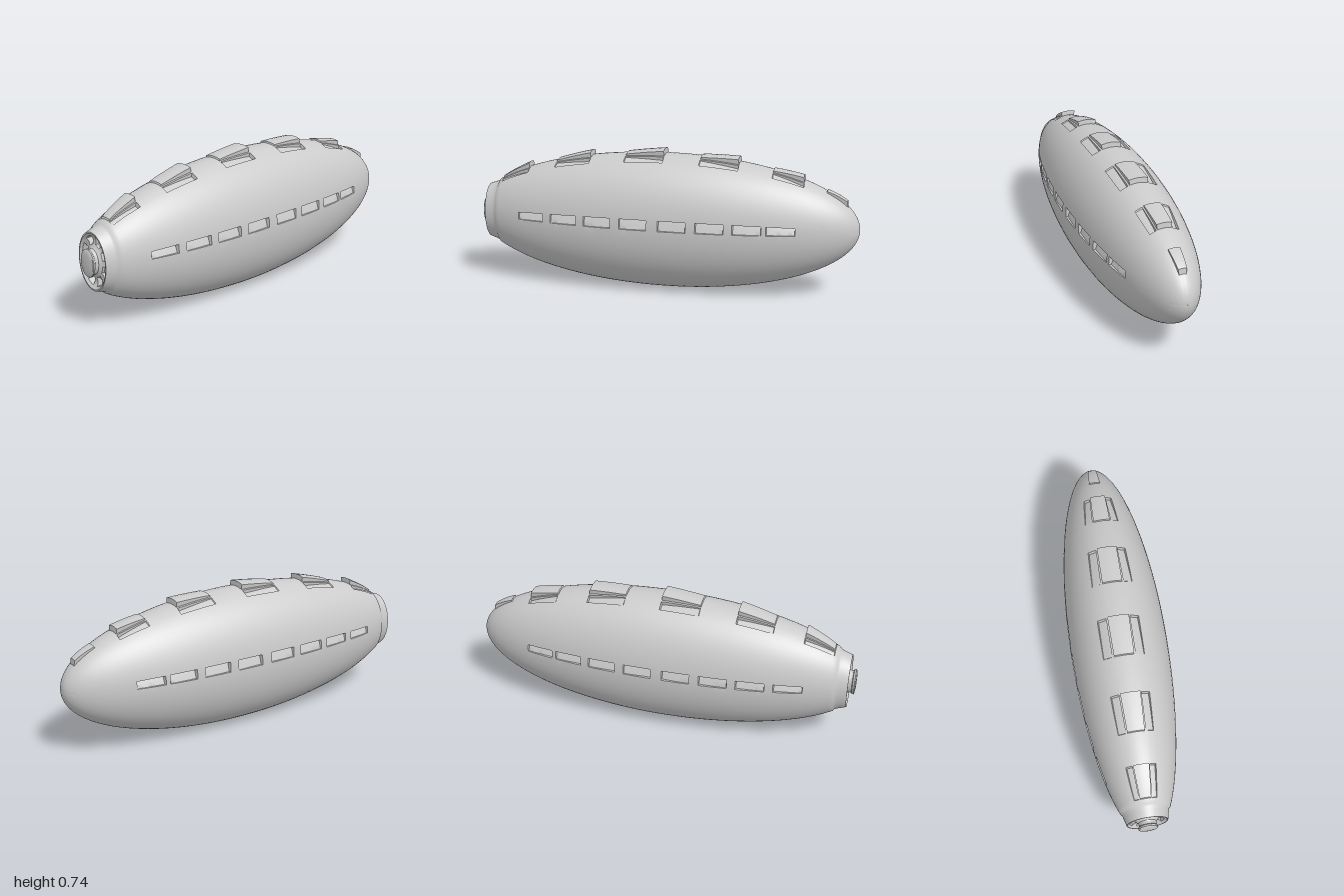
import * as THREE from 'three';
import { toCreasedNormals } from 'three/addons/utils/BufferGeometryUtils.js';

const RX = 0.253, RY = 0.355, CY = 0.358, EPS = 0.0015;
const TAU = Math.PI * 2;

// Surface from rows u and columns v; normals follow du x dv
function gridSurface(us, vs, point) {
  const pos = [], idx = [], n = vs.length;
  for (const u of us) for (const v of vs) pos.push(...point(u, v));
  for (let i = 0; i < us.length - 1; i++) {
    for (let j = 0; j < n - 1; j++) {
      const a = i * n + j, b = a + n;
      idx.push(a, b, a + 1, b, b + 1, a + 1);
    }
  }
  const g = new THREE.BufferGeometry();
  g.setAttribute('position', new THREE.Float32BufferAttribute(pos, 3));
  g.setIndex(idx);
  return toCreasedNormals(g, 0.6);
}

// Even samples plus a tight pair of lines at each sharp edge
function samples(base, edges) {
  const kept = base.filter(b => edges.every(e => Math.abs(b - e) > 4 * EPS));
  return [...kept, ...edges.flatMap(e => [e - EPS, e + EPS])].sort((a, b) => a - b);
}
const steps = n => Array.from({ length: n + 1 }, (_, i) => i / n);
const inside = (x, [lo, hi]) => x > lo && x < hi;
const frac = (x, [lo, hi]) => (x - lo) / (hi - lo);

// Dorsal plates and flank slots as [rear z, front z]
const plates = [[0.73, 0.88], [0.39, 0.575], [0, 0.2], [-0.385, -0.19], [-0.715, -0.56], [-0.935, -0.83]];
const slots = [0.61, 0.425, 0.24, 0.05, -0.15, -0.34, -0.525, -0.69].map(z => [z, z + 0.14]);
const plateAngle = 0.2, pocket = [0.24, 0.42], flank = [Math.PI / 2 - 0.16, Math.PI / 2 - 0.012];

// Hull radius along z, as a fraction of the largest section
function hullRadius(z) {
  if (z > 0.94) return 0.435 - (z - 0.94) * 1.0;
  if (z > 0.9) return 0.5 - Math.sqrt((z - 0.9) / 0.04) * 0.065;
  const t = z > 0 ? z / 1.04 : z;
  return Math.max(0.003, Math.sqrt(Math.max(0, 1 - t * t)));
}

// Raised plates and sunk pockets, mirrored left to right
function relief(z, angle) {
  const a = angle > Math.PI ? TAU - angle : angle;
  for (const [k, p] of plates.entries()) {
    if (!inside(z, p)) continue;
    const rear = 1 - frac(z, p);
    if (a < plateAngle) return 0.022 + 0.05 * rear;
    if (k < 5 && inside(a, pocket)) return -(0.015 + 0.04 * rear);
  }
  if (inside(a, flank)) {
    for (const s of slots) {
      if (!inside(z, s)) continue;
      const f = frac(z, s), deep = z > 0 ? 1 - f : f;
      return -(0.015 + 0.05 * (1 - frac(a, flank)) + 0.03 * deep);
    }
  }
  return 0;
}

function hullGeometry() {
  const rows = samples(
    [...steps(64).map(t => -Math.cos(t * Math.PI / 2)), ...steps(32).slice(1).map(t => t * 0.9),
      0.905, 0.915, 0.93, 0.94, 0.965],
    [...plates, ...slots].flat());
  const half = [plateAngle, ...pocket, ...flank];
  const cols = samples(steps(64).map(t => t * TAU), [...half, ...half.map(a => TAU - a)]);
  return gridSurface(rows, cols, (z, a) => {
    const r = hullRadius(z) + relief(z, a);
    return [RX * r * Math.sin(a), RY * r * Math.cos(a), z];
  });
}

// Ring of eight pockets around the nose hub
function noseRingGeometry() {
  const span = [0.235, 0.35], halfWidth = 0.23, pitch = TAU / 8;
  const rows = samples([0.41, 0.39, 0.37, 0.32, 0.28, 0.22, 0.17], span).reverse();
  const edges = steps(7).flatMap(t => {
    const c = (t * 7 + 0.5) * pitch;
    return [c - halfWidth, c + halfWidth];
  });
  const cols = samples(steps(64).map(t => t * TAU), edges);
  return gridSurface(rows, cols, (r, a) => {
    const off = Math.abs((a % pitch) - pitch / 2);
    let z = 0.965 - 0.02 * Math.sin(Math.PI * Math.min(1, Math.max(0, (0.39 - r) / 0.22)));
    if (inside(r, span) && off < halfWidth) z -= 0.012 + 0.025 * frac(r, span);
    return [RX * r * Math.sin(a), RY * r * Math.cos(a), z];
  });
}

// Waisted hub with a shallow domed cap
function hubGeometry() {
  const profile = [[0.2, 0.93], [0.19, 0.955], [0.172, 0.97], [0.178, 0.98], [0.196, 0.984],
    [0.196, 0.992], [0.185, 0.995], [0.12, 0.998], [0, 1]];
  const g = new THREE.LatheGeometry(profile.map(p => new THREE.Vector2(...p)), 40);
  g.rotateX(Math.PI / 2);
  g.scale(RX, RY, 1);
  g.deleteAttribute('uv');
  return toCreasedNormals(g, 0.6);
}

export function createModel() {
  const model = new THREE.Group();
  model.name = 'platedAirship';
  const material = new THREE.MeshStandardMaterial({ color: 0xcccccc });
  const add = (name, geometry) => {
    const mesh = new THREE.Mesh(geometry, material);
    mesh.name = name;
    mesh.position.y = CY;
    model.add(mesh);
  };
  add('platedHull', hullGeometry());
  add('noseRing', noseRingGeometry());
  add('noseHub', hubGeometry());
  return model;
}
